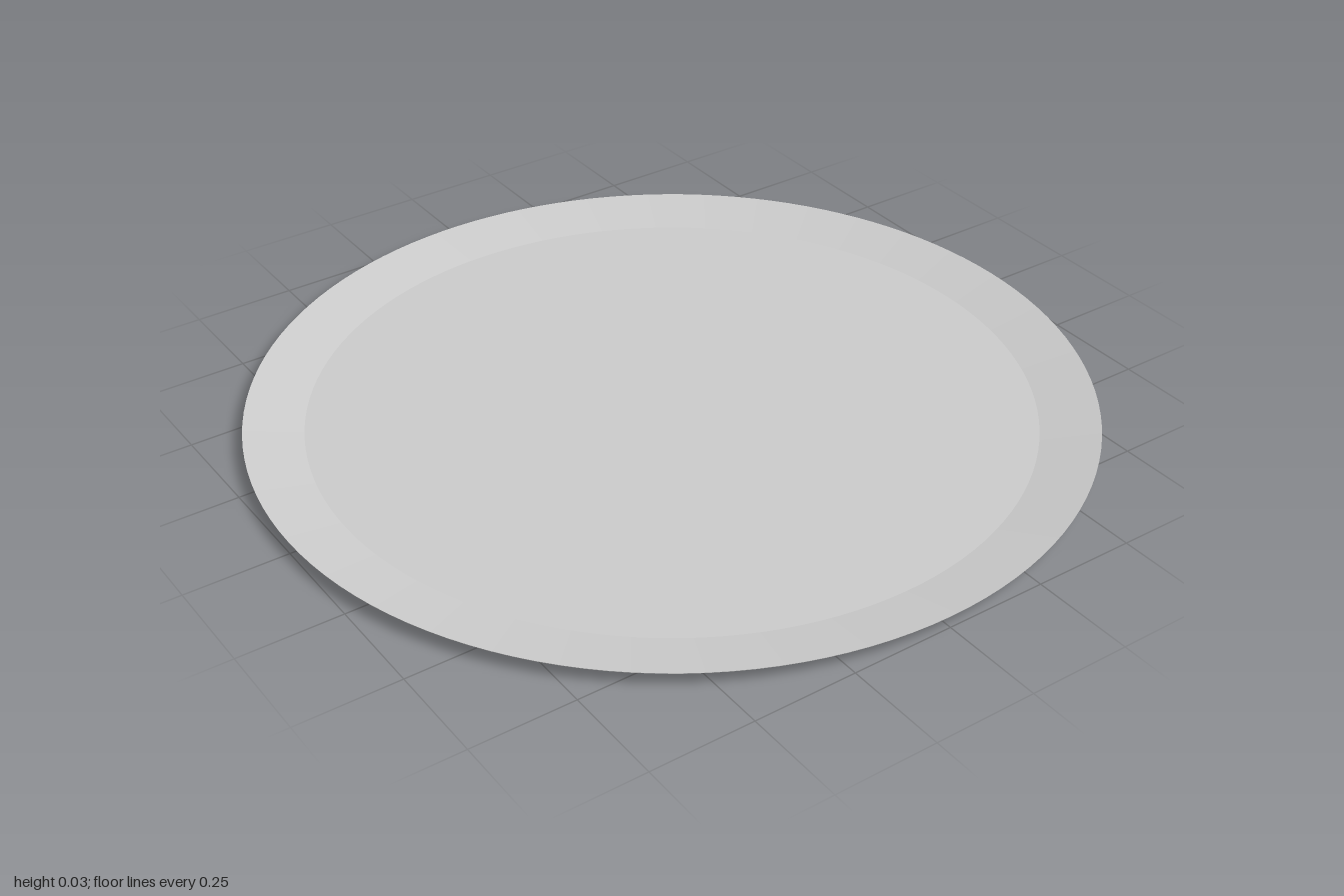
import * as THREE from 'three';
import { toCreasedNormals } from 'three/addons/utils/BufferGeometryUtils.js';

const SEGMENTS = 128;
const material = new THREE.MeshStandardMaterial({ color: 0xcccccc, side: THREE.DoubleSide });

// Revolve a profile of [radius, height] points, keeping its corners sharp
function turned(name, profile) {
  const points = profile.map(([r, y]) => new THREE.Vector2(r, y));
  const geometry = toCreasedNormals(new THREE.LatheGeometry(points, SEGMENTS), 0.1);
  const mesh = new THREE.Mesh(geometry, material);
  mesh.name = name;
  return mesh;
}

// Flat disc, facing up or down
function disc(name, radius, y, up) {
  const geometry = new THREE.CircleGeometry(radius, SEGMENTS);
  geometry.rotateX(up ? -Math.PI / 2 : Math.PI / 2);
  const mesh = new THREE.Mesh(geometry, material);
  mesh.position.y = y;
  mesh.name = name;
  return mesh;
}

export function createModel() {
  const plate = new THREE.Group();
  plate.name = 'plate';

  const floorRadius = 0.86, thickness = 0.004, height = 0.03;

  // Flat floor, inside and underside
  plate.add(disc('floor', floorRadius, thickness, true));
  plate.add(disc('base', floorRadius, 0, false));

  // Shallow sloping rim that tapers to a thin edge
  plate.add(turned('rim', [[floorRadius, 0], [1, height - 0.001], [1, height], [floorRadius, thickness]]));

  return plate;
}
